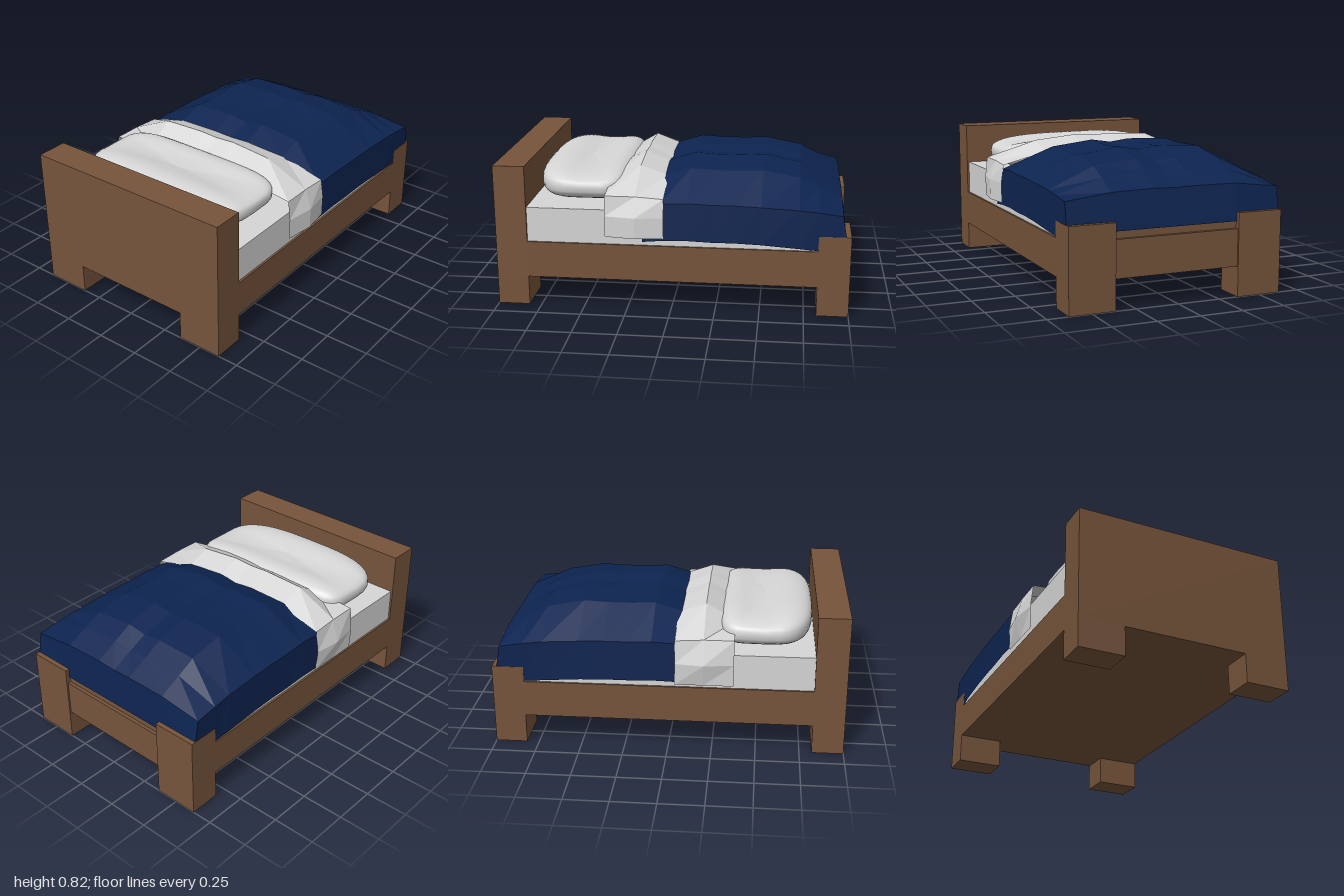
import * as THREE from 'three';

const wood = new THREE.MeshStandardMaterial({ color: 0x76543b });
wood.name = 'wood';
const linen = new THREE.MeshStandardMaterial({ color: 0xd6d6d6 });
linen.name = 'linen';
const navy = new THREE.MeshStandardMaterial({ color: 0x0d2450 });
navy.name = 'navy';
const cloth = (base, name) => {
  const m = base.clone();
  m.name = name;
  m.side = THREE.DoubleSide;
  m.flatShading = true;
  return m;
};
const sheetCloth = cloth(linen, 'sheet cloth');
const blanketCloth = cloth(navy, 'blanket cloth');

// Box given by its lower and upper corners
function box(name, mat, x0, x1, y0, y1, z0, z1) {
  const g = new THREE.BoxGeometry(x1 - x0, y1 - y0, z1 - z0);
  g.translate((x0 + x1) / 2, (y0 + y1) / 2, (z0 + z1) / 2);
  const mesh = new THREE.Mesh(g, mat);
  mesh.name = name;
  return mesh;
}

// Draped surface: one list of points per section along x, each running from -z to +z
function drape(name, mat, sections) {
  const pos = [];
  for (let i = 0; i < sections.length - 1; i++) {
    for (let j = 0; j < sections[i].length - 1; j++) {
      const a = sections[i][j], b = sections[i][j + 1];
      const c = sections[i + 1][j], d = sections[i + 1][j + 1];
      pos.push(...a, ...b, ...c, ...b, ...d, ...c);
    }
  }
  const g = new THREE.BufferGeometry();
  g.setAttribute('position', new THREE.Float32BufferAttribute(pos, 3));
  g.computeVertexNormals();
  const mesh = new THREE.Mesh(g, mat);
  mesh.name = name;
  return mesh;
}

// Top line of a cloth section: [z, share of the crown height, small fold offset]
const crown = [
  [-0.63, 0, 0.015], [-0.37, 0.92, 0.005], [-0.12, 1, 0], [0, 1, -0.015],
  [0.12, 1, 0.003], [0.37, 0.83, 0], [0.63, 0, 0],
];

// Superellipse pillow, sunken along its middle and flattened underneath
function pillow() {
  const g = new THREE.SphereGeometry(1, 40, 24);
  const p = g.attributes.position;
  const pow = (v, e) => Math.sign(v) * Math.pow(Math.abs(v), e);
  for (let i = 0; i < p.count; i++) {
    const x = p.getX(i), y = p.getY(i), z = p.getZ(i);
    const r = Math.hypot(x, z) || 1e-6;
    const e = x < 0 ? 0.65 : 0.4;
    const ring = Math.pow(r, 0.6);
    const px = ring * pow(x / r, e), pz = ring * pow(z / r, e);
    let py = 0.675 + 0.11 * pow(y, 0.75);
    if (y > 0) py -= y * (0.035 * Math.exp(-Math.pow((px - 0.15) / 0.45, 2)) + 0.015 * (pz + 1) / 2);
    p.setXYZ(i, -0.54 + 0.27 * px, Math.max(py, 0.575), -0.015 + 0.545 * pz);
  }
  g.computeVertexNormals();
  const mesh = new THREE.Mesh(g, linen);
  mesh.name = 'pillow';
  return mesh;
}

export function createModel() {
  const bed = new THREE.Group();
  bed.name = 'bed';

  // Wooden frame
  const frame = new THREE.Group();
  frame.name = 'frame';
  frame.add(box('base', wood, -0.82, 0.99, 0.17, 0.38, -0.63, 0.63));
  frame.add(box('headboard', wood, -1, -0.82, 0.17, 0.82, -0.63, 0.63));
  frame.add(box('footboard', wood, 0.82, 0.97, 0.38, 0.42, -0.365, 0.365));
  for (const [z0, z1] of [[-0.63, -0.365], [0.365, 0.63]]) {
    frame.add(box('headLeg', wood, -1, -0.82, 0, 0.17, z0, z1));
    frame.add(box('footPost', wood, 0.82, 1, 0, 0.47, z0, z1));
  }
  bed.add(frame);

  // Mattress and pillow
  bed.add(box('mattress', linen, -0.82, 0.82, 0.38, 0.58, -0.618, 0.618));
  bed.add(pillow());

  // Blanket: [x, crown height, edge height, hem height, hem half width]
  const blanketRows = [
    [-0.16, 0.66, 0.60, 0.405, 0.636], [-0.06, 0.745, 0.63, 0.415, 0.638],
    [0.09, 0.795, 0.635, 0.42, 0.638], [0.22, 0.787, 0.63, 0.415, 0.637],
    [0.36, 0.787, 0.63, 0.415, 0.636], [0.5, 0.795, 0.625, 0.41, 0.635],
    [0.71, 0.752, 0.615, 0.395, 0.633], [0.82, 0.695, 0.605, 0.385, 0.628],
    [0.95, 0.627, 0.59, 0.42, 0.626],
  ];
  const blanket = blanketRows.map(([x, top, edge, hem, w]) => {
    const fade = Math.min(1, (top - edge) / 0.15);
    const line = crown.map(([z, k, o]) => [x, edge + (top - edge) * k + o * fade, z]);
    return [[x, hem, -w], ...line, [x, hem, w]];
  });
  // Foot end hangs straight down
  blanket.push(blanket.at(-1).map(([, , z]) => [0.98, 0.42, z]));
  bed.add(drape('blanket', blanketCloth, blanket));

  // Turned-back sheet: [x, crown height, edge height, bulge half width, crown tilt]
  const sheetRows = [
    [-0.37, 0.7, 0.665, 0.645, 0.03], [-0.2, 0.8, 0.665, 0.67, 0], [-0.04, 0.735, 0.655, 0.648, 0],
  ];
  const sheet = sheetRows.map(([x, top, edge, w, tilt]) => {
    const line = crown.map(([z, k, o]) => [x, edge + (top - edge) * k + o * 0.4 + tilt * z * k, z]);
    return [[x, 0.4, -0.638], [x, 0.53, -w], ...line, [x, 0.55, w - 0.002], [x, 0.43, w - 0.004]];
  });
  bed.add(drape('foldedSheet', sheetCloth, sheet));

  return bed;
}
